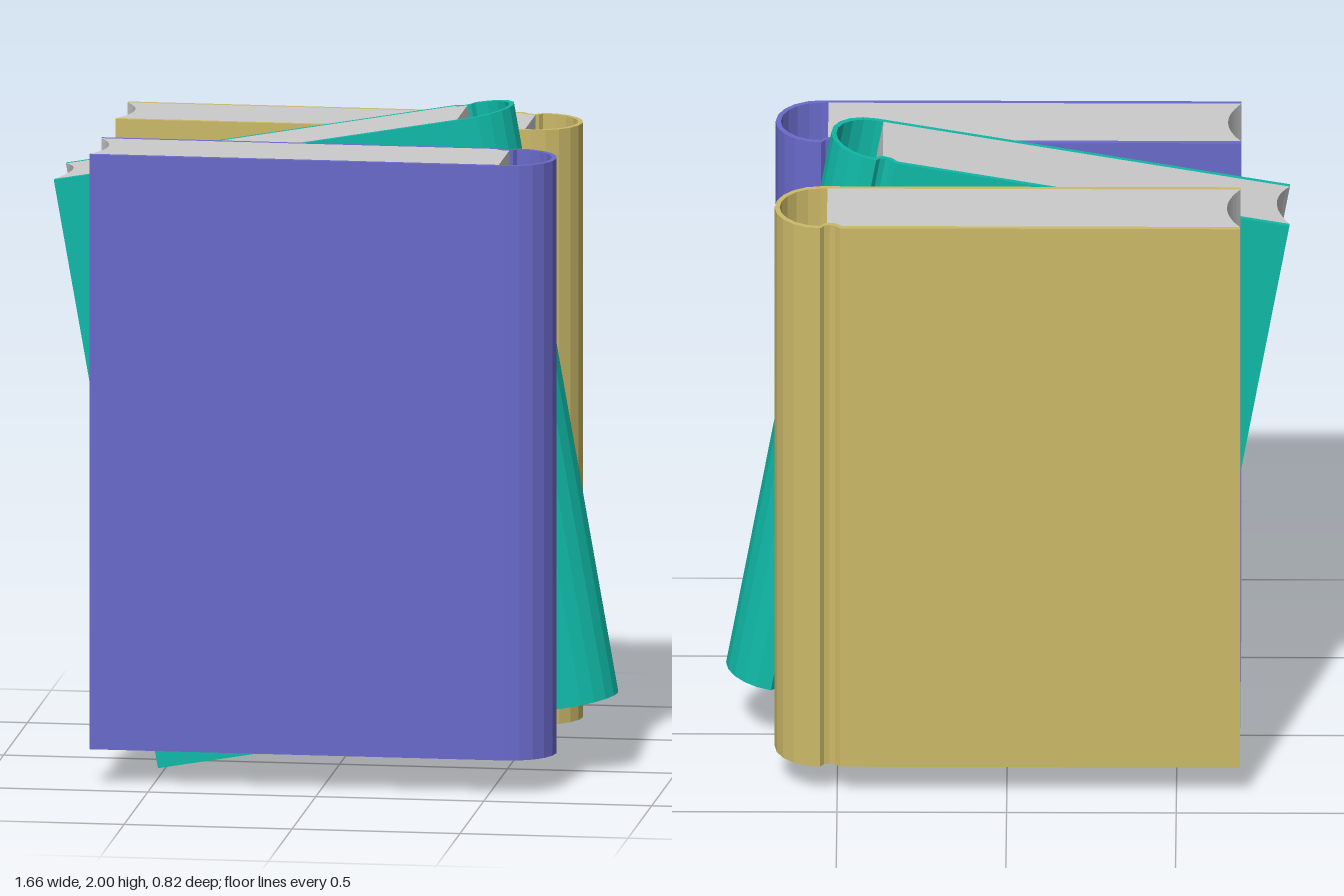
import * as THREE from 'three';

const HEIGHT = 1.786;
const FORE = -0.687;   // x of the fore-edge
const HINGE = 0.55;    // x where the rounded spine begins
const R = 0.135;       // half thickness of a book
const T = 0.015;       // cover board thickness
const ARC_STEPS = 10;

// Points of the half-round spine, from angle a0 to a1
function spineArc(radius, a0, a1) {
  return Array.from({ length: ARC_STEPS + 1 }, (_, i) => {
    const a = a0 + (a1 - a0) * i / ARC_STEPS;
    return [HINGE + radius * Math.cos(a), radius * Math.sin(a)];
  });
}

// Extrude a plan outline (x, -z) into an upright solid centred on its height
function upright(shape) {
  const geometry = new THREE.ExtrudeGeometry(shape, { depth: HEIGHT, bevelEnabled: false, curveSegments: 12 });
  geometry.translate(0, 0, -HEIGHT / 2);
  geometry.rotateX(-Math.PI / 2);
  return geometry;
}

const toShape = (points) => new THREE.Shape(points.map(([x, y]) => new THREE.Vector2(x, y)));

// Wrap-around cover with a hinge groove in the back board
function coverGeometry() {
  const r = R - T;
  return upright(toShape([
    [FORE, R], [0.492, R], [0.507, 0.119], [0.522, 0.114], [0.538, 0.119],
    ...spineArc(R, Math.PI / 2, -Math.PI / 2),
    [FORE, -R], [FORE, -r],
    ...spineArc(r, -Math.PI / 2, Math.PI / 2),
    [0.54, 0.104], [0.522, 0.099], [0.502, 0.104], [0.486, r], [FORE, r],
  ]));
}

// Page block with a hollow fore-edge, notched to clear the groove
function pagesGeometry() {
  const r = R - T;
  const shape = toShape([
    [FORE, r], [0.486, r], [0.502, 0.104], [0.522, 0.099], [0.53, 0.101], [0.53, -r], [FORE, -r],
  ]);
  shape.quadraticCurveTo(-0.61, 0, FORE, r);
  return upright(shape);
}

export function createModel() {
  const model = new THREE.Group();
  model.name = 'books';
  const cover = coverGeometry();
  const pages = pagesGeometry();
  const paper = new THREE.MeshStandardMaterial({ color: 0xcccccc });

  const books = [
    { name: 'frontBook', color: 0x6a6acb, z: 0.274, tilt: 0 },
    { name: 'middleBook', color: 0x10b9a7, z: 0, tilt: Math.PI / 18 },
    { name: 'backBook', color: 0xcbb968, z: -0.278, tilt: 0 },
  ];
  for (const { name, color, z, tilt } of books) {
    const book = new THREE.Group();
    book.name = name;
    const coverMesh = new THREE.Mesh(cover, new THREE.MeshStandardMaterial({ color }));
    coverMesh.name = 'cover';
    const pagesMesh = new THREE.Mesh(pages, paper);
    pagesMesh.name = 'pages';
    book.add(coverMesh, pagesMesh);
    book.position.set(0, 1, z);
    book.rotation.z = tilt;
    model.add(book);
  }
  return model;
}
